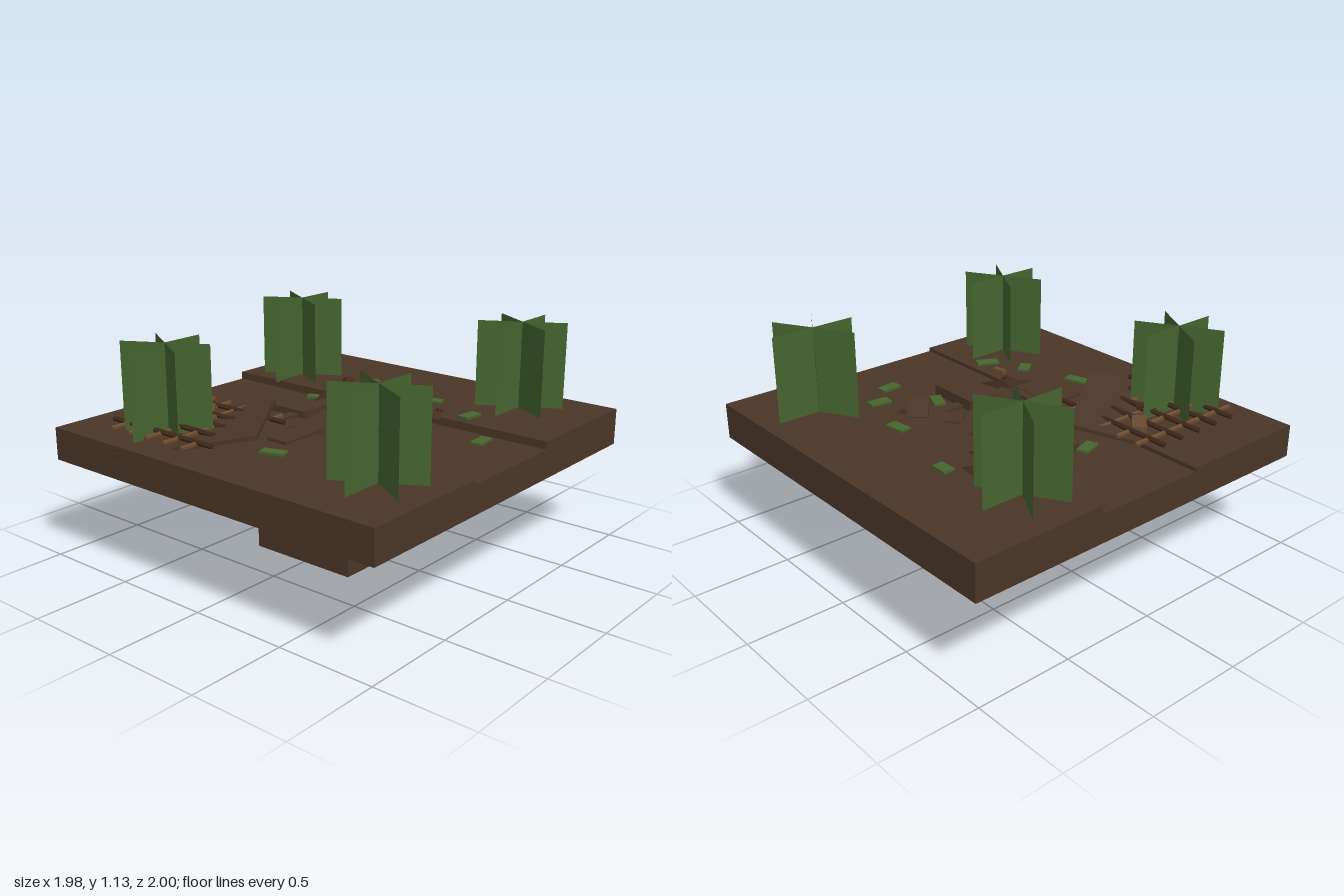
import * as THREE from 'three';
import { ConvexGeometry } from 'three/addons/geometries/ConvexGeometry.js';

const mat = (color, side = THREE.FrontSide) =>
  new THREE.MeshStandardMaterial({ color, side, flatShading: true });

export function createModel() {
  const model = new THREE.Group();
  const earth = mat(0x4a3728), stone = mat(0x4a3728), wood = mat(0x6b4a30);
  const darkWood = mat(0x40291b), black = mat(0x1a1a1a);
  const leaf = mat(0x46652f, THREE.DoubleSide);

  const add = (name, geometry, material, x = 0, y = 0, z = 0, ry = 0) => {
    const mesh = new THREE.Mesh(geometry, material);
    mesh.name = name;
    mesh.position.set(x, y, z);
    mesh.rotation.y = ry;
    model.add(mesh);
    return mesh;
  };
  // Box given by its limits on each axis
  const span = (name, material, x0, x1, y0, y1, z0, z1) =>
    add(name, new THREE.BoxGeometry(x1 - x0, y1 - y0, z1 - z0), material,
      (x0 + x1) / 2, (y0 + y1) / 2, (z0 + z1) / 2);

  // Ground in three levels, with the shaft block below
  span('backGround', earth, -0.99, 0.985, 0.5, 0.685, -1, -0.31);
  span('middleGround', earth, -0.99, 0.985, 0.5, 0.645, -0.31, 0.28);
  span('frontGround', earth, -0.99, 0.985, 0.5, 0.665, 0.28, 0.975);
  span('shaft', earth, -0.3, 0.29, 0.005, 0.5, -0.3, 0.29);
  span('shaftBottom', black, -0.27, 0.26, 0, 0.02, -0.27, 0.26);

  // Square frame of beams around the centre
  for (const [x0, x1, z0, z1] of [
    [-0.3, -0.245, -0.31, 0.28], [0.24, 0.29, -0.31, 0.25],
    [-0.245, 0.24, -0.31, -0.27], [-0.245, 0.24, 0.23, 0.28],
  ]) span('frameBeam', stone, x0, x1, 0.64, 0.662, z0, z1);

  // Ring of eight radial stones
  for (let i = 0; i < 8; i++) {
    const a = i * Math.PI / 4, diagonal = i % 2 === 1;
    const length = diagonal ? 0.15 : 0.28, r = diagonal ? 0.27 : 0.335;
    const top = i === 0 ? 0.7 : diagonal ? 0.658 : 0.68;
    add('ringStone', new THREE.BoxGeometry(length, top - 0.62, 0.115), stone,
      r * Math.cos(a) - 0.005, (top + 0.62) / 2, r * Math.sin(a) - 0.015, -a);
  }

  // Fallen panel, raised along its inner edge
  const along = new THREE.Vector3(0.39, 0.012, 0.54).normalize();
  const across = new THREE.Vector3(-0.8, -0.17, 0.58);
  const up = new THREE.Vector3().crossVectors(across, along).normalize();
  if (up.y < 0) up.negate();
  across.crossVectors(along, up).normalize();
  const panel = add('fallenPanel', new THREE.BoxGeometry(0.666, 0.02, 0.4), stone, -0.335, 0.692, 0.458);
  panel.quaternion.setFromRotationMatrix(new THREE.Matrix4().makeBasis(along, up, across));

  // Broken lattice: rods along z, then rods along x
  const rod = (length) => new THREE.CylinderGeometry(0.013, 0.013, length, 6);
  for (const [x, z0, z1] of [
    [-0.69, 0.2, 0.87], [-0.57, 0.2, 0.87], [-0.45, 0.2, 0.87],
    [-0.33, 0.55, 0.87], [-0.21, 0.2, 0.3], [-0.21, 0.77, 0.87],
  ]) add('latticeLongRod', rod(z1 - z0), wood, x, 0.695, (z0 + z1) / 2).rotation.x = Math.PI / 2;
  for (const [z, x0, x1] of [
    [0.29, -0.79, -0.39], [0.29, -0.22, -0.11], [0.41, -0.79, -0.33],
    [0.53, -0.79, -0.28], [0.65, -0.79, -0.22], [0.77, -0.79, -0.11],
  ]) add('latticeCrossRod', rod(x1 - x0), darkWood, (x0 + x1) / 2, 0.703, z).rotation.z = Math.PI / 2;
  add('latticeRing', new THREE.TorusGeometry(0.045, 0.007, 6, 16), darkWood, -0.45, 0.71, 0.53)
    .rotation.x = Math.PI / 2;
  add('latticeBlock', new THREE.BoxGeometry(0.14, 0.03, 0.07), wood, -0.55, 0.7, 0.375, -0.8);

  // Bushes: three crossed upright sheets each
  for (const [x, z, top] of [
    [-0.695, -0.5, 1.12], [-0.495, 0.685, 1.11], [0.592, -0.7, 1.13], [0.692, 0.58, 1.1],
  ]) {
    const bush = new THREE.Group();
    bush.name = 'bush';
    bush.position.set(x, top - 0.22, z);
    for (let i = 0; i < 3; i++) {
      const sheet = new THREE.Mesh(new THREE.PlaneGeometry(0.44, 0.44), leaf);
      sheet.name = 'bushSheet';
      sheet.rotation.y = Math.PI / 6 + i * Math.PI / 3;
      bush.add(sheet);
    }
    model.add(bush);
  }

  // Scattered leaves: x, z, length, turn
  for (const [x, z, length, turn] of [
    [-0.29, -0.61, 0.09, 0], [0.19, -0.51, 0.11, 0.15], [0.49, -0.41, 0.11, 1.45],
    [0.69, -0.21, 0.11, 1.65], [0.39, -0.12, 0.11, -0.4], [-0.5, 0.08, 0.11, -1.25],
    [-0.42, -0.28, 0.07, 0.5], [0.59, 0.38, 0.12, 1.1], [0.4, 0.485, 0.09, -0.9],
    [0.09, 0.58, 0.12, 0.3], [-0.36, 0.65, 0.15, -1],
  ]) {
    const ground = z < -0.31 ? 0.685 : z < 0.28 ? 0.645 : 0.665;
    add('looseLeaf', new THREE.BoxGeometry(length, 0.012, 0.06), leaf, x, ground + 0.006, z, turn);
  }

  // Pointed shards: triangle base corners, then the peak
  for (const corners of [
    [[-0.44, 0.66, -0.39], [-0.24, 0.7, -0.44], [-0.38, 0.64, -0.22], [-0.34, 0.72, -0.37]],
    [[-0.45, 0.68, -0.55], [-0.35, 0.7, -0.56], [-0.36, 0.68, -0.45], [-0.4, 0.715, -0.53]],
    [[0.2, 0.64, 0.25], [0.41, 0.66, 0.18], [0.24, 0.66, 0.43], [0.3, 0.7, 0.24]],
    [[0.29, 0.66, 0.35], [0.37, 0.66, 0.27], [0.25, 0.64, 0.2], [0.31, 0.71, 0.28]],
    [[0.28, 0.68, -0.38], [0.34, 0.68, -0.43], [0.35, 0.68, -0.35], [0.32, 0.705, -0.38]],
  ]) add('shard', new ConvexGeometry(corners.map((c) => new THREE.Vector3(...c))), darkWood);

  // Tilted slab and small chips
  const slab = add('brokenSlab', new THREE.BoxGeometry(0.2, 0.025, 0.1), stone, 0.3, 0.69, -0.305, -0.7);
  slab.rotation.z = 0.12;
  add('chip', new THREE.BoxGeometry(0.07, 0.025, 0.03), wood, 0.44, 0.675, 0.34, 0.2);
  add('edgeChip', new THREE.BoxGeometry(0.036, 0.026, 0.036), darkWood, -0.52, 0.623, 0.974, 0.75);

  return model;
}
